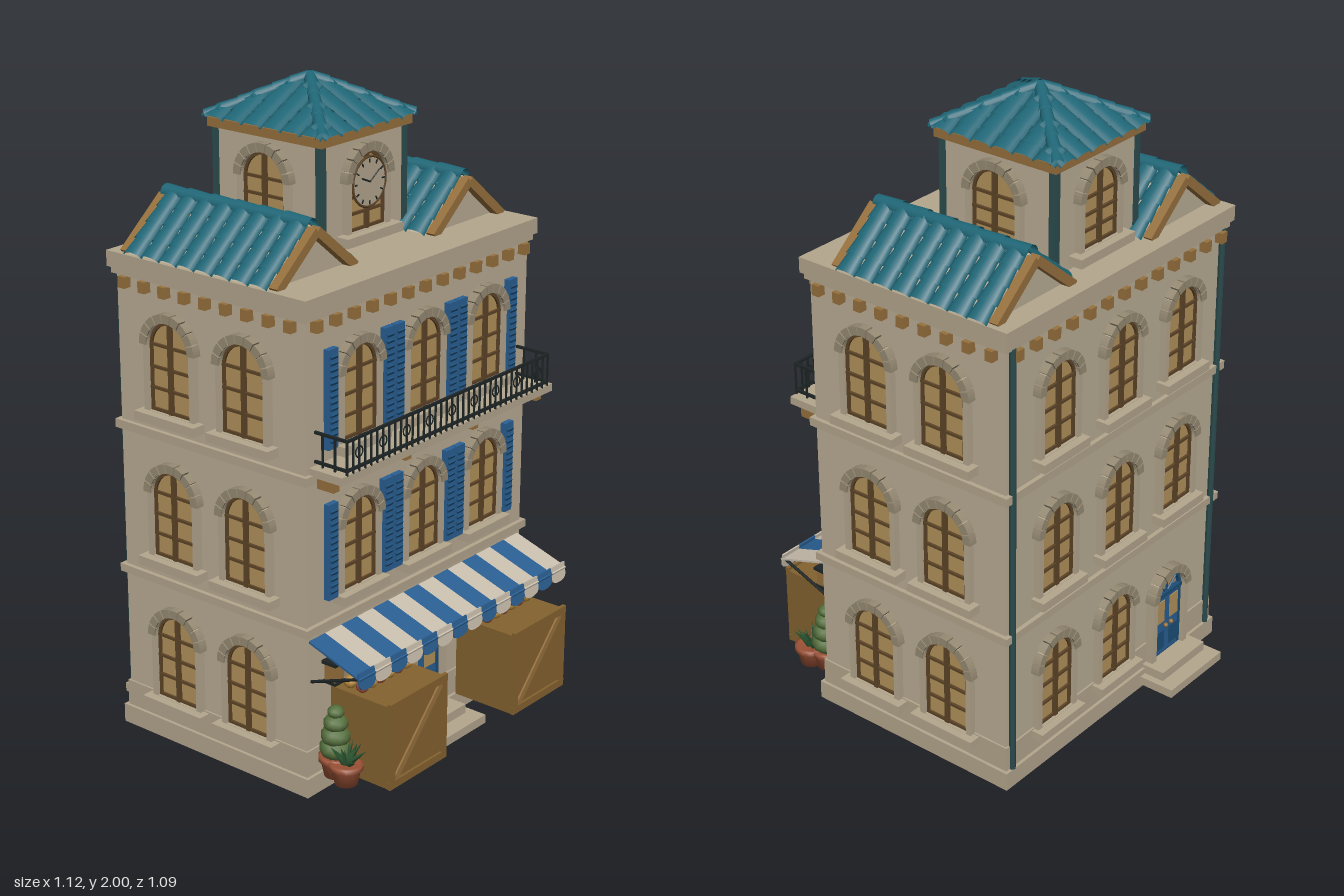
import * as THREE from 'three';
import { mergeGeometries } from 'three/addons/utils/BufferGeometryUtils.js';

const mat = (color) => new THREE.MeshStandardMaterial({ color, side: THREE.DoubleSide });
const M = {
  wall: mat(0xb9ac94), trim: mat(0xb3a68d), stone: mat(0x968a73), glass: mat(0xb3915a), wood: mat(0x5d4427),
  oak: mat(0x96703d), crate: mat(0x84622f), blue: mat(0x2a5f93), navy: mat(0x1d4e78), white: mat(0xc9bfae),
  teal: mat(0x1f6676), post: mat(0x2c4c4e), iron: mat(0x1e2526), clay: mat(0x9c5236), leaf: mat(0x2e5a34),
  bush: mat(0x55703c), fruit: mat(0xa8553f), fruit2: mat(0xb98a3c),
};
const CZ = -0.055; // depth centre of the main block
const WX = 0.515, ZF = 0.302, ZB = -0.412;

function add(g, name, geo, material, x = 0, y = 0, z = 0) {
  const m = new THREE.Mesh(geo, material);
  m.name = name;
  m.position.set(x, y, z);
  g.add(m);
  return m;
}
const box = (g, name, m, w, h, d, x, y, z) => add(g, name, new THREE.BoxGeometry(w, h, d), m, x, y, z);
// box given by its bottom and top heights
const slab = (g, name, m, w, y0, y1, d, x, z) => box(g, name, m, w, y1 - y0, d, x, (y0 + y1) / 2, z);
function bar(g, name, m, a, b, r) {
  const A = new THREE.Vector3(...a), B = new THREE.Vector3(...b), d = B.clone().sub(A);
  const c = add(g, name, new THREE.CylinderGeometry(r, r, d.length(), 6), m);
  c.position.copy(A).add(B).multiplyScalar(0.5);
  c.quaternion.setFromUnitVectors(new THREE.Vector3(0, 1, 0), d.normalize());
  return c;
}
const extrude = (s, depth) => new THREE.ExtrudeGeometry(s, { depth, bevelEnabled: false, curveSegments: 12 });

function arch(w, h, y0 = 0, Type = THREE.Shape) {
  const s = new Type();
  s.moveTo(-w, y0); s.lineTo(w, y0); s.lineTo(w, h);
  s.absarc(0, h, w, 0, Math.PI, false);
  s.closePath();
  return s;
}
function archRing(wo, wi, h, y0, depth) {
  const s = arch(wo, h);
  s.holes.push(arch(wi, h, y0, THREE.Path));
  return extrude(s, depth);
}
// ring of wedge stones over an arch
function archStones(w, h, n = 9) {
  const parts = [];
  for (let i = 0; i < n; i++) {
    const a = (i + 0.06) * Math.PI / n, b = (i + 0.94) * Math.PI / n, s = new THREE.Shape();
    s.absarc(0, h, w + 0.028, a, b, false);
    s.absarc(0, h, w + 0.001, b, a, true);
    parts.push(new THREE.ExtrudeGeometry(s, { depth: 0.028, bevelEnabled: false, curveSegments: 2 }));
  }
  return mergeGeometries(parts);
}

// arched window standing on its sill, facing +z
function archWindow(w = 0.075, h = 0.2, sillW = 0.105) {
  const g = new THREE.Group();
  g.name = 'archedWindow';
  add(g, 'glass', new THREE.ShapeGeometry(arch(w, h)), M.glass, 0, 0, 0.005);
  add(g, 'stoneFrame', archRing(w + 0.018, w, h, 0.001, 0.022), M.trim);
  add(g, 'archStones', archStones(w, h), M.stone);
  add(g, 'sash', archRing(w, w - 0.009, h, 0.01, 0.012), M.wood);
  slab(g, 'mullion', M.wood, 0.014, 0, h + w, 0.016, 0, 0.008);
  for (const y of [0.36, 0.68, 1.02]) box(g, 'glazingBar', M.wood, 2 * w, 0.008, 0.012, 0, h * y, 0.007);
  slab(g, 'sill', M.trim, 2 * sillW, -0.03, -0.002, 0.046, 0, 0.023);
  return g;
}
function archDoor(w, h) {
  const g = new THREE.Group();
  g.name = 'archedDoor';
  add(g, 'transom', new THREE.ShapeGeometry(arch(w, h)), M.glass, 0, 0, 0.004);
  add(g, 'stoneFrame', archRing(w + 0.022, w, h, 0.001, 0.03), M.trim);
  add(g, 'archStones', archStones(w, h), M.stone).scale.z = 1.3;
  add(g, 'doorFrame', archRing(w, w - 0.01, h, 0.005, 0.016), M.navy);
  for (const a of [-0.9, 0, 0.9])
    bar(g, 'fanBar', M.navy, [0, h, 0.01], [Math.sin(a) * w, h + Math.cos(a) * w, 0.01], 0.004);
  box(g, 'doorRail', M.navy, 2 * w, 0.014, 0.02, 0, h, 0.01);
  for (const s of [-1, 1]) {
    slab(g, 'doorLeaf', M.blue, w * 0.96, 0, h, 0.012, s * w / 2, 0.007);
    box(g, 'lowerPanel', M.navy, w * 0.6, h * 0.3, 0.006, s * w / 2, h * 0.24, 0.014);
    box(g, 'upperPanel', M.glass, w * 0.6, h * 0.36, 0.006, s * w / 2, h * 0.72, 0.013);
    add(g, 'knob', new THREE.SphereGeometry(0.008, 8, 6), M.oak, s * 0.014, h * 0.48, 0.022);
  }
  return g;
}
function put(g, child, x, y, z, ry = 0) {
  child.position.set(x, y, z);
  child.rotation.y = ry;
  g.add(child);
}

// run of overlapping barrel tiles from a low point to a high point
function tileRun(g, name, a, b, r, n, flat = 0.6) {
  const A = new THREE.Vector3(...a), B = new THREE.Vector3(...b), d = B.clone().sub(A), len = d.length();
  d.normalize();
  const s = d.clone().cross(new THREE.Vector3(0, 1, 0)).normalize(), up = s.clone().cross(d), parts = [];
  for (let i = 0; i < n; i++) {
    const t = new THREE.CylinderGeometry(r * 0.86, r * 1.04, len / n * 1.06, 8, 1, true, -Math.PI / 2, Math.PI);
    t.scale(1, 1, flat);
    t.translate(0, len * (i + 0.5) / n, 0);
    parts.push(t);
  }
  const m = add(g, name, mergeGeometries(parts), M.teal);
  m.quaternion.setFromRotationMatrix(new THREE.Matrix4().makeBasis(s, d, up));
  m.position.copy(A);
}

function gable() {
  const g = new THREE.Group(), tri = new THREE.Shape(), H = 0.145, W = 0.175, z0 = -0.36, z1 = 0.18;
  g.name = 'gableRoof';
  tri.moveTo(-W, 0); tri.lineTo(W, 0); tri.lineTo(0, H); tri.closePath();
  add(g, 'gableCore', extrude(tri, z1 - z0), M.wall, 0, 0, z0);
  for (const s of [-1, 1]) {
    for (let i = 0; i < 8; i++) {
      const z = z0 + (z1 - z0) * (i + 0.5) / 8;
      tileRun(g, 'tileRow', [s * (W + 0.01), 0, z], [0, H + 0.005, z], 0.034, 4);
    }
    for (const z of [z0 - 0.014, z1 + 0.014]) {
      const f = box(g, 'fascia', M.oak, 0.215, 0.028, 0.03, s * 0.083, H * 0.5 - 0.008, z);
      f.rotation.z = -s * Math.atan2(H, W);
    }
  }
  tileRun(g, 'ridge', [0, H, z0 - 0.005], [0, H, z1 + 0.005], 0.025, 6, 1);
  return g;
}

function tower() {
  const g = new THREE.Group(), hx = 0.19, hz = 0.203, ex = 0.205, ez = 0.222, y0 = 1.868, y1 = 1.978;
  g.name = 'tower';
  slab(g, 'towerWall', M.wall, 2 * hx, 1.5, 1.85, 2 * hz, 0, 0);
  slab(g, 'towerEave', M.oak, 2 * hx + 0.03, 1.838, 1.866, 2 * hz + 0.03, 0, 0);
  for (const x of [-1, 1]) for (const z of [-1, 1])
    slab(g, 'cornerPost', M.post, 0.022, 1.53, 1.84, 0.022, x * (hx - 0.006), z * (hz - 0.006));
  for (let i = 0; i < 4; i++) {
    const side = i % 2, win = archWindow(0.08, 0.15, 0.125);
    const d = side ? hx : hz, a = i * Math.PI / 2;
    put(g, win, Math.sin(a) * d, 1.565, Math.cos(a) * d, a);
    // barrel tiles of one hip face, shortened toward the hips
    const half = side ? ez : ex, run = side ? ex : ez;
    for (let k = 0; k < 6; k++) {
      const u = half * ((k + 0.5) / 3 - 1), t = Math.min(1, 1.04 - Math.abs(u) / half);
      const P = (v, y) => [Math.sin(a) * v + Math.cos(a) * u, y, Math.cos(a) * v - Math.sin(a) * u];
      tileRun(g, 'tileRow', P(run + 0.012, y0 - 0.004), P(run * (1 - t), y0 + (y1 - y0) * t), half / 6 * 1.04,
        Math.max(1, Math.round(t * 5)), 0.45);
    }
  }
  const core = new THREE.CylinderGeometry(0.001, Math.SQRT2, y1 - y0, 4, 1).rotateY(Math.PI / 4).scale(ex, 1, ez);
  add(g, 'roofCore', core.toNonIndexed(), M.teal, 0, (y0 + y1) / 2, 0).geometry.computeVertexNormals();
  for (const x of [-1, 1]) for (const z of [-1, 1])
    tileRun(g, 'hipRidge', [x * ex, y0, z * ez], [0, y1 + 0.004, 0], 0.02, 6, 1);
  // clock on the front
  const face = add(g, 'clockFace', new THREE.CylinderGeometry(0.074, 0.074, 0.006, 28), M.trim, 0, 1.705, hz + 0.018);
  face.rotation.x = Math.PI / 2;
  add(g, 'clockRim', new THREE.TorusGeometry(0.074, 0.004, 6, 28), M.wood, 0, 1.705, hz + 0.02);
  for (let i = 0; i < 12; i++) {
    const a = i * Math.PI / 6;
    const t = box(g, 'hourMark', M.iron, 0.004, 0.012, 0.003, Math.sin(a) * 0.062, 1.705 + Math.cos(a) * 0.062, hz + 0.022);
    t.rotation.z = -a;
  }
  bar(g, 'hourHand', M.iron, [0, 1.705, hz + 0.024], [-0.035, 1.72, hz + 0.024], 0.003);
  bar(g, 'minuteHand', M.iron, [0, 1.705, hz + 0.024], [0.042, 1.735, hz + 0.024], 0.002);
  return g;
}

function balcony() {
  const g = new THREE.Group(), z = 0.418, hx = 0.475;
  g.name = 'balcony';
  slab(g, 'balconyFloor', M.trim, 1.0, 0.998, 1.022, 0.12, 0, 0.36);
  for (const x of [-0.48, -0.16, 0.16, 0.48]) slab(g, 'balconyBracket', M.oak, 0.026, 0.965, 0.998, 0.06, x, 0.355);
  for (const y of [1.035, 1.122]) {
    box(g, 'frontRail', M.iron, 2 * hx, 0.008, 0.008, 0, y, z);
    for (const s of [-1, 1]) box(g, 'sideRail', M.iron, 0.008, 0.008, 0.116, s * hx, y, 0.36);
  }
  for (let i = 0; i <= 36; i++) {
    const x = -hx + i * 2 * hx / 36;
    slab(g, 'baluster', M.iron, 0.005, 1.02, 1.122, 0.005, x, z);
    if (i % 4 === 2) add(g, 'scroll', new THREE.TorusGeometry(0.016, 0.0025, 4, 12), M.iron, x, 1.078, z);
  }
  for (const s of [-1, 1]) for (const k of [0.33, 0.375]) slab(g, 'sideBaluster', M.iron, 0.005, 1.02, 1.122, 0.005, s * hx, k);
  return g;
}

function awning() {
  const g = new THREE.Group(), n = 14, w = 1.01 / n;
  g.name = 'awning';
  const flap = new THREE.Shape();
  flap.moveTo(w / 2, 0.034); flap.lineTo(-w / 2, 0.034); flap.lineTo(-w / 2, 0);
  flap.quadraticCurveTo(-w / 2, -0.022, 0, -0.022); flap.quadraticCurveTo(w / 2, -0.022, w / 2, 0);
  const flapGeo = extrude(flap, 0.005);
  for (let i = 0; i < n; i++) {
    const m = i % 2 ? M.white : M.blue, x = -0.505 + (i + 0.5) * w;
    box(g, 'canopyStripe', m, w, 0.006, 0.2, x, 0.458, 0.396).rotation.x = Math.atan2(0.062, 0.19);
    add(g, 'valanceFlap', flapGeo, m, x, 0.412, 0.485).rotation.x = -0.15;
  }
  for (const s of [-1, 1]) {
    bar(g, 'awningArm', M.iron, [s * 0.495, 0.425, 0.48], [s * 0.495, 0.36, ZF], 0.005);
    // lantern
    slab(g, 'lantern', M.oak, 0.04, 0.368, 0.42, 0.04, s * 0.452, 0.352);
    slab(g, 'lanternCap', M.iron, 0.052, 0.42, 0.43, 0.052, s * 0.452, 0.352);
    slab(g, 'lanternBase', M.iron, 0.048, 0.36, 0.368, 0.048, s * 0.452, 0.352);
    bar(g, 'lanternArm', M.iron, [s * 0.452, 0.44, 0.36], [s * 0.452, 0.475, ZF], 0.005);
  }
  return g;
}

function crate() {
  const g = new THREE.Group(), W = 0.262, H = 0.27, zc = 0.43, D = 0.215;
  g.name = 'crate';
  slab(g, 'crateBox', M.crate, W, 0.065, 0.065 + H - 0.006, D, 0, zc);
  const zf = zc + D / 2 + 0.002;
  for (const y of [0.077, 0.327]) box(g, 'crateRail', M.crate, W + 0.004, 0.024, 0.012, 0, y, zf);
  for (const s of [-1, 1]) box(g, 'crateStile', M.crate, 0.022, H, 0.012, s * (W / 2 - 0.01), 0.2, zf);
  box(g, 'crateBrace', M.oak, 0.02, 0.315, 0.008, 0, 0.2, zf).rotation.z = -0.76;
  for (let i = 0; i < 6; i++) for (let j = 0; j < 2; j++)
    add(g, 'fruit', new THREE.SphereGeometry(0.02, 8, 6), (i + j) % 2 ? M.fruit : M.fruit2, -0.1 + i * 0.04, 0.346, 0.37 + j * 0.045);
  return g;
}

function planters(s) {
  const g = new THREE.Group();
  g.name = 'planters';
  const pot = new THREE.LatheGeometry([[0.001, 0], [0.034, 0], [0.045, 0.05], [0.052, 0.05], [0.052, 0.066], [0.042, 0.066], [0.001, 0.06]]
    .map(([x, y]) => new THREE.Vector2(x, y)), 14);
  const T = [s * 0.452, 0.358], L = [s * 0.47, 0.412];
  add(g, 'topiaryPot', pot, M.clay, T[0], 0.06, T[1]);
  add(g, 'leafyPot', pot, M.clay, L[0], 0.06, L[1]);
  [[0.05, 0.15], [0.046, 0.19], [0.038, 0.23], [0.026, 0.265]].forEach(([r, y]) =>
    add(g, 'topiary', new THREE.IcosahedronGeometry(r, 1), M.bush, T[0], y, T[1]).scale.y = 0.75);
  for (let i = 0; i < 14; i++) {
    const a = i * 2.4, lean = 0.45 + (i % 4) * 0.22;
    const leaf = new THREE.ConeGeometry(0.014, 0.075, 4).scale(1, 1, 0.4).translate(0, 0.037, 0).rotateZ(-lean);
    add(g, 'leaf', leaf, M.leaf, L[0], 0.122, L[1]).rotation.y = a;
  }
  return g;
}

function shutter(g, x, y) {
  slab(g, 'shutter', M.blue, 0.042, y, y + 0.295, 0.018, x, ZF + 0.012);
  for (let i = 0; i < 14; i++)
    box(g, 'louvre', M.navy, 0.03, 0.008, 0.008, x, y + 0.025 + i * 0.019, ZF + 0.022).rotation.x = 0.5;
}

export function createModel() {
  const g = new THREE.Group();
  g.name = 'townHouse';
  // main block with its bands
  const ring = (name, m, y0, y1, out) => slab(g, name, m, 2 * (WX + out), y0, y1, ZF - ZB + 2 * out, 0, CZ);
  ring('wall', M.wall, 0.05, 1.47, 0);
  ring('base', M.trim, 0, 0.06, 0.016);
  ring('plinth', M.trim, 0.06, 0.142, 0.006);
  ring('lowerBand', M.trim, 0.51, 0.535, 0.014);
  ring('middleBand', M.trim, 0.975, 1.002, 0.014);
  ring('corniceBed', M.trim, 1.452, 1.474, 0.012);
  ring('cornice', M.trim, 1.472, 1.52, 0.021);
  for (const s of [-1, 1]) {
    bar(g, 'drainpipe', M.post, [s * 0.495, 0.06, ZB - 0.008], [s * 0.495, 1.455, ZB - 0.008], 0.011);
    for (let i = 0; i < 9; i++) slab(g, 'corniceBracket', M.oak, 0.028, 1.418, 1.452, 0.026, s * (WX + 0.012), ZB + 0.04 + i * 0.079);
  }
  for (let i = 0; i < 13; i++) for (const z of [ZF + 0.012, ZB - 0.012])
    slab(g, 'corniceBracket', M.oak, 0.026, 1.418, 1.452, 0.028, -0.48 + i * 0.08, z);

  // windows on every floor and side
  [0.14, 0.605, 1.065].forEach((y, floor) => {
    for (const x of [-0.295, 0, 0.295]) {
      if (floor || x) put(g, archWindow(), x, y, ZF);
      if (floor || x >= 0) put(g, archWindow(), x, y, ZB, Math.PI);
      if (floor) for (const s of [-1, 1]) shutter(g, x + s * 0.124, y - 0.005);
    }
    for (const z of [0.085, -0.197]) for (const s of [-1, 1])
      put(g, archWindow(0.08, 0.2, 0.118), s * WX, y, z, s * Math.PI / 2);
  });

  // doors and steps
  put(g, archDoor(0.085, 0.26), 0, 0.07, ZF);
  slab(g, 'frontStep', M.trim, 0.31, 0.012, 0.04, 0.16, 0, 0.37);
  slab(g, 'frontStep', M.trim, 0.25, 0.03, 0.07, 0.1, 0, 0.345);
  put(g, archDoor(0.07, 0.22), -0.27, 0.07, ZB, Math.PI);
  slab(g, 'backStep', M.trim, 0.27, 0.014, 0.042, 0.14, -0.27, -0.478);
  slab(g, 'backStep', M.trim, 0.222, 0.04, 0.072, 0.09, -0.27, -0.452);

  // roofs
  for (const s of [-1, 1]) put(g, gable(), s * 0.348, 1.52, 0);
  put(g, tower(), 0, 0, -0.118);

  // street front
  g.add(balcony(), awning());
  for (const s of [-1, 1]) {
    put(g, crate(), s * 0.3, 0, 0);
    g.add(planters(s));
  }
  return g;
}
